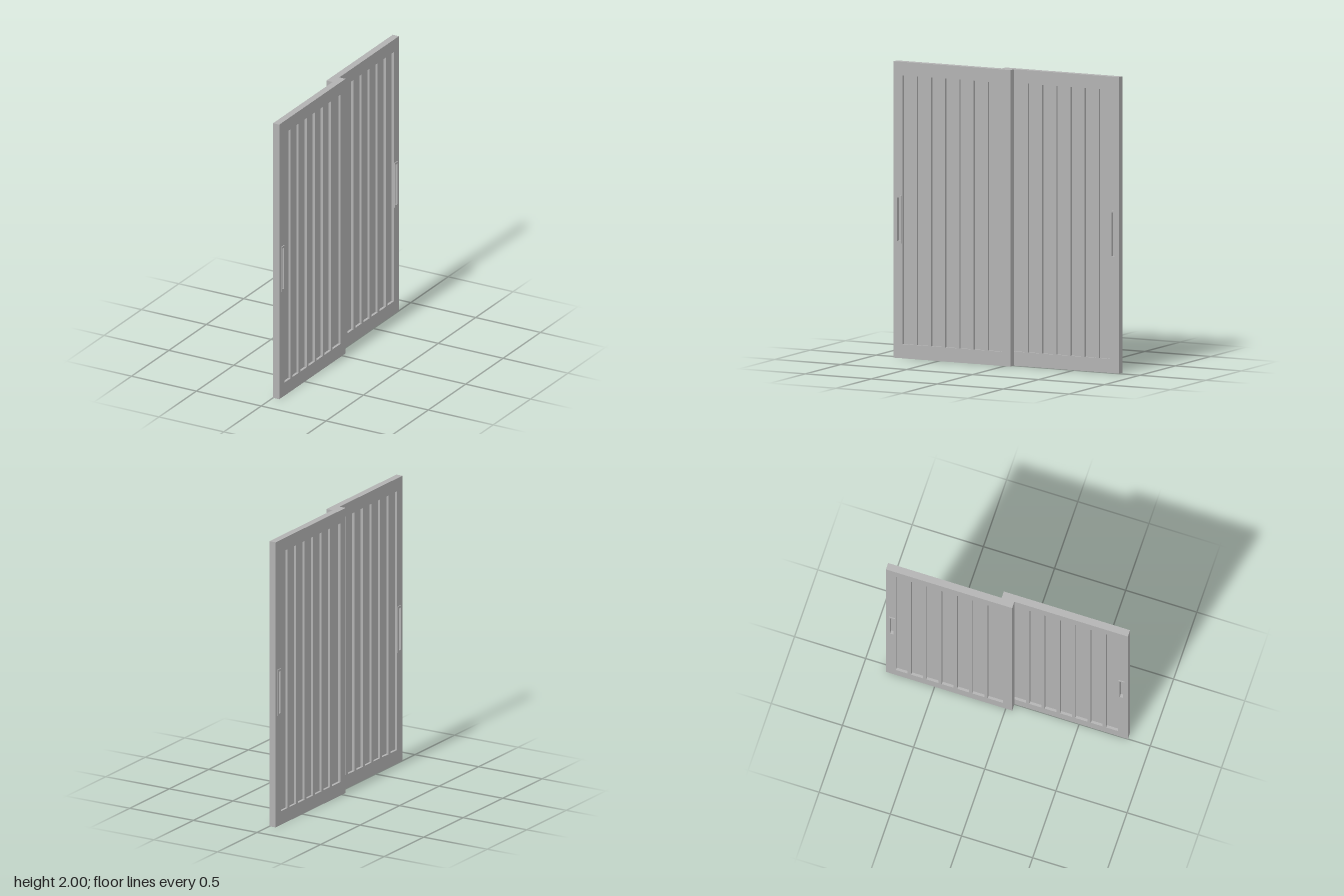
import * as THREE from 'three';

const T = 0.048;             // leaf thickness
const Z0 = -0.045, Z1 = 0.842; // leaf extent along z
const FLOOR = 0.012;         // thickness of the recessed infill

const rect = (Type, z0, z1, y0, y1) => {
  const p = new Type();
  p.moveTo(z0, y0);
  p.lineTo(z1, y0);
  p.lineTo(z1, y1);
  p.lineTo(z0, y1);
  p.closePath();
  return p;
};

// Extrudes a (z, y) outline along x, from x0 to x1
function slab(shape, x0, x1) {
  const geo = new THREE.ExtrudeGeometry(shape, { depth: x1 - x0, bevelEnabled: false });
  geo.rotateY(-Math.PI / 2);
  geo.translate(x1, 0, 0);
  return geo;
}

export function createModel() {
  const model = new THREE.Group();
  model.name = 'slidingDoors';
  const grey = new THREE.MeshStandardMaterial({ color: 0xb2b2b2 });
  grey.name = 'grey';

  const add = (group, geo, name) => {
    const mesh = new THREE.Mesh(geo, grey);
    mesh.name = name;
    group.add(mesh);
  };

  function makeLeaf(name) {
    const leaf = new THREE.Group();
    leaf.name = name;

    // Frame with a row of tall slots; the innermost slot is wider
    const frame = rect(THREE.Shape, Z0, Z1, 0, 2);
    for (let i = 0; i < 7; i++) {
      const top = 0.773 - i * 0.1077;
      const width = i === 6 ? 0.106 : 0.084;
      frame.holes.push(rect(THREE.Path, top - width, top, 0.095, 1.91));
    }
    // Opening behind the handle
    frame.holes.push(rect(THREE.Path, 0.787, 0.811, 0.79, 1.085));
    add(leaf, slab(frame, 0, T), 'slottedFrame');

    // Infill closing the slots at mid depth
    const infill = rect(THREE.Shape, Z0 + 0.03, Z1 - 0.015, 0.05, 1.95);
    add(leaf, slab(infill, (T - FLOOR) / 2, (T + FLOOR) / 2), 'infillPanel');

    // Raised handle rim on both faces
    const rim = rect(THREE.Shape, 0.778, 0.82, 0.775, 1.1);
    rim.holes.push(rect(THREE.Path, 0.787, 0.811, 0.79, 1.085));
    add(leaf, slab(rim, T, T + 0.006), 'outerHandle');
    add(leaf, slab(rim, -0.006, 0), 'innerHandle');
    return leaf;
  }

  // Two identical leaves, the second turned half a circle
  model.add(makeLeaf('frontLeaf'));
  const back = makeLeaf('backLeaf');
  back.rotation.y = Math.PI;
  model.add(back);
  return model;
}
